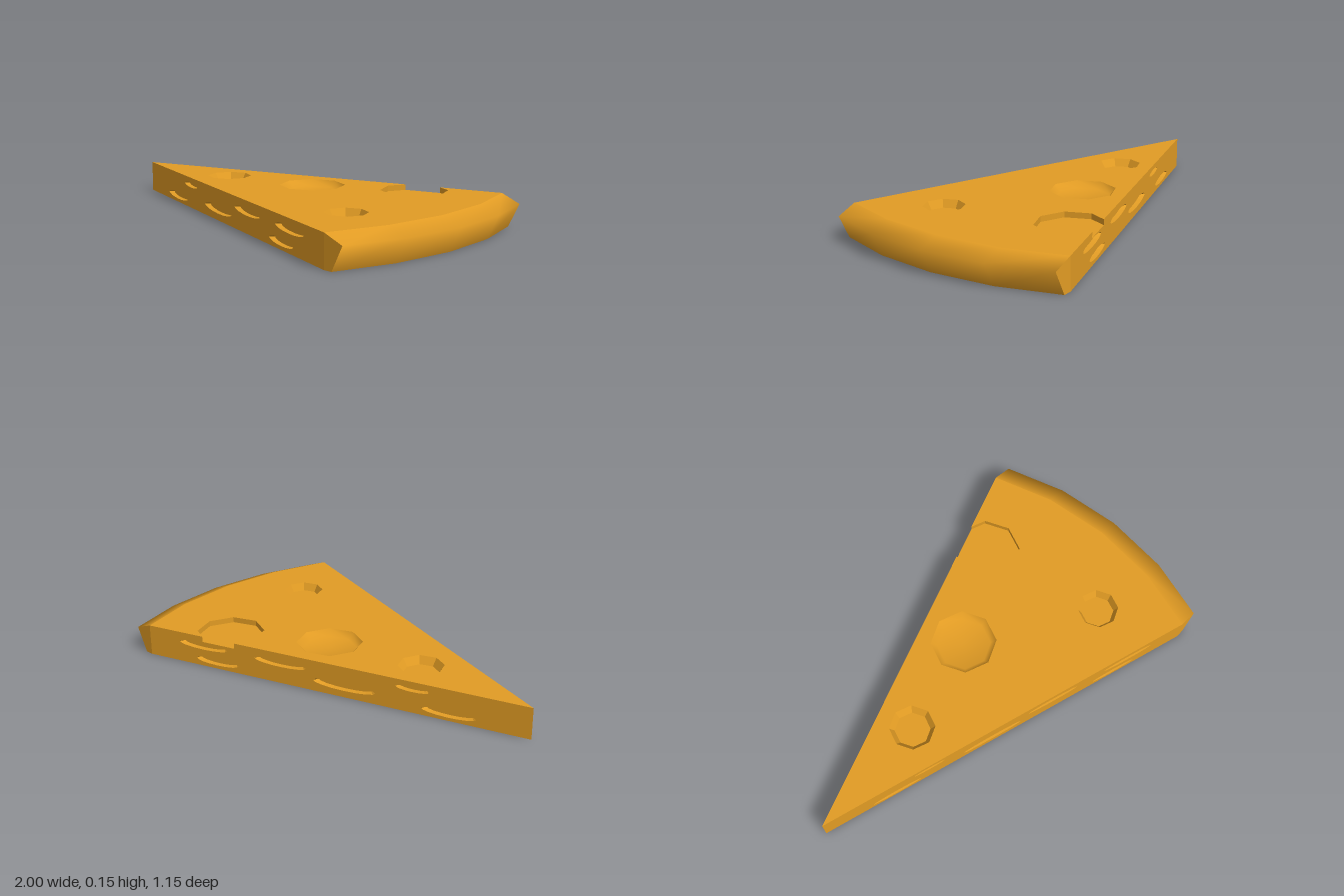
import * as THREE from 'three';
import { mergeVertices } from 'three/addons/utils/BufferGeometryUtils.js';

const H = 0.147;              // slab height
const CX = 0.79, CZ = 0.577;  // top corner where the flank meets the rind
const K = CZ / (CX + 1);      // slope of the flanks
const L = Math.hypot(1, K);
const NOTCH = 0.026;          // depth of the bubble that breaks the back edge
// rind stations from front to back: [outer x, z]
const ARC = [[0.885, CZ], [0.97, 0.3], [1, 0], [0.97, -0.3], [0.885, -CZ]];
const BOTTOM_IN = 0.055, TOP_IN = 0.095, RIM_Y = 0.11;

export function createModel() {
  const model = new THREE.Group();
  const cheese = new THREE.MeshStandardMaterial({ color: 0xe29c24 });

  function addMesh(name, points, smooth = false) {
    let g = new THREE.BufferGeometry().setFromPoints(points);
    if (smooth) g = mergeVertices(g, 1e-5);
    g.computeVertexNormals();
    const mesh = new THREE.Mesh(g, cheese);
    mesh.name = name;
    model.add(mesh);
  }
  const quad = (a, b, c, d) => [a, b, c, a, c, d];

  // flat face with holes, placed by map(u, v, depth)
  function face(outline, holes, map, depth = 0) {
    const pts = outline.map(p => new THREE.Vector2(...p));
    const rings = holes.map(h => h.map(p => new THREE.Vector2(...p)));
    const all = [pts, ...rings].flat();
    return THREE.ShapeUtils.triangulateShape(pts, rings).flat()
      .map(i => map(all[i].x, all[i].y, depth));
  }

  // clockwise ring of a bubble
  const ring = (h, s = 1) => Array.from({ length: h.n }, (_, i) => {
    const a = -i / h.n * Math.PI * 2;
    return [h.u + Math.cos(a) * h.ru * s, h.v + Math.sin(a) * h.rv * s];
  });

  // tapered wall and floor of a bubble
  function pit(name, h, map) {
    const outer = ring(h).map(p => map(...p, 0));
    const inner = ring(h, h.taper).map(p => map(...p, h.depth));
    const centre = map(h.u, h.v, h.depth);
    const pts = [];
    for (let i = 0; i < h.n; i++) {
      const j = (i + 1) % h.n;
      pts.push(...quad(outer[i], inner[i], inner[j], outer[j]), centre, inner[j], inner[i]);
    }
    addMesh(name, pts, h.smooth);
  }

  function panel(name, outline, holes, map) {
    addMesh(name, face(outline, holes.map(h => ring(h)), map));
    holes.forEach(h => pit(name + 'Bubble', h, map));
  }

  // placements of the faces
  const V = (x, y, z) => new THREE.Vector3(x, y, z);
  const topMap = (u, v, d) => V(u, H - d, -v);
  const frontMap = (u, v, d) => V(u + d * K / L, v, K * (u + 1) - d / L);
  const backMap = (u, v, d) => V(-u + d * K / L, v, -K * (1 - u) + d / L);

  // octagonal notch clipped by the back edge
  const n = { u: 0.47, v: 0.35, r: 0.155 };
  const at = k => [n.u + n.r * Math.cos(k * Math.PI / 4), n.v + n.r * Math.sin(k * Math.PI / 4)];
  const side = p => p[1] - K * (p[0] + 1);
  const crossing = (a, b) => {
    const t = side(a) / (side(a) - side(b));
    return [a[0] + (b[0] - a[0]) * t, a[1] + (b[1] - a[1]) * t];
  };
  const notch = [crossing(at(2), at(1)), ...[1, 0, -1, -2, -3, -4].map(at), crossing(at(3), at(4))];

  // top
  const topOutline = [[-1, 0], [CX, -CZ],
    ...ARC.slice(1, 4).map(([x, z]) => [x - TOP_IN, -z]), [CX, CZ], ...notch];
  panel('topFace', topOutline, [
    { u: -0.41, v: 0.015, ru: 0.104, rv: 0.104, n: 8, taper: 0.78, depth: 0.035 },
    { u: 0.59, v: -0.235, ru: 0.094, rv: 0.094, n: 8, taper: 0.8, depth: 0.035 },
    { u: 0.05, v: 0.12, ru: 0.152, rv: 0.152, n: 8, taper: 0.82, depth: 0.03, smooth: true },
  ], topMap);

  const notchPts = face([...notch].reverse(), [], topMap, NOTCH);
  for (let i = 0; i < notch.length - 1; i++) {
    const [a, b] = [notch[i], notch[i + 1]];
    notchPts.push(...quad(topMap(...a, 0), topMap(...a, NOTCH), topMap(...b, NOTCH), topMap(...b, 0)));
  }
  addMesh('edgeBubble', notchPts);

  // flanks with flat oval bubbles: [x, y, half width, half height]
  const ovals = [
    [-0.65, 0.033, 0.118, 0.018], [-0.49, 0.112, 0.075, 0.013], [-0.18, 0.052, 0.145, 0.021],
    [0.125, 0.098, 0.125, 0.018], [0.51, 0.1, 0.122, 0.018], [0.44, 0.034, 0.107, 0.018],
  ];
  const bubbles = s => ovals.map(([x, v, ru, rv]) =>
    ({ u: s * x, v, ru, rv, n: 16, taper: 0.88, depth: 0.022 }));
  panel('frontFlank', [[-1, 0], [CX, 0], [CX, H], [-1, H]], bubbles(1), frontMap);
  const x1 = notch[notch.length - 1][0], x2 = notch[0][0];
  panel('backFlank', [[-CX, 0], [1, 0], [1, H], [-x1, H], [-x1, H - NOTCH],
    [-x2, H - NOTCH], [-x2, H], [-CX, H]], bubbles(-1), backMap);

  // rind end caps
  const end = [[CX, 0], [ARC[0][0] - BOTTOM_IN, 0], [ARC[0][0], RIM_Y], [CX, H]];
  addMesh('frontRindEnd', quad(...end.map(([x, y]) => V(x, y, CZ))));
  addMesh('backRindEnd', quad(...end.map(([x, y]) => V(x, y, -CZ)).reverse()));

  // curved rind
  const rows = ARC.map(([x, z]) => [V(x - BOTTOM_IN, 0, z), V(x, RIM_Y, z), V(x - TOP_IN, H, z)]);
  const rind = [];
  for (let i = 0; i < 4; i++) for (let j = 0; j < 2; j++) {
    rind.push(...quad(rows[i][j], rows[i + 1][j], rows[i + 1][j + 1], rows[i][j + 1]));
  }
  addMesh('rind', rind, true);

  // underside
  const under = [[-1, 0], [CX, -CZ], ...[...ARC].reverse().map(([x, z]) => [x - BOTTOM_IN, z]), [CX, CZ]];
  addMesh('underside', face(under, [], (u, v) => V(u, 0, v)));

  return model;
}
